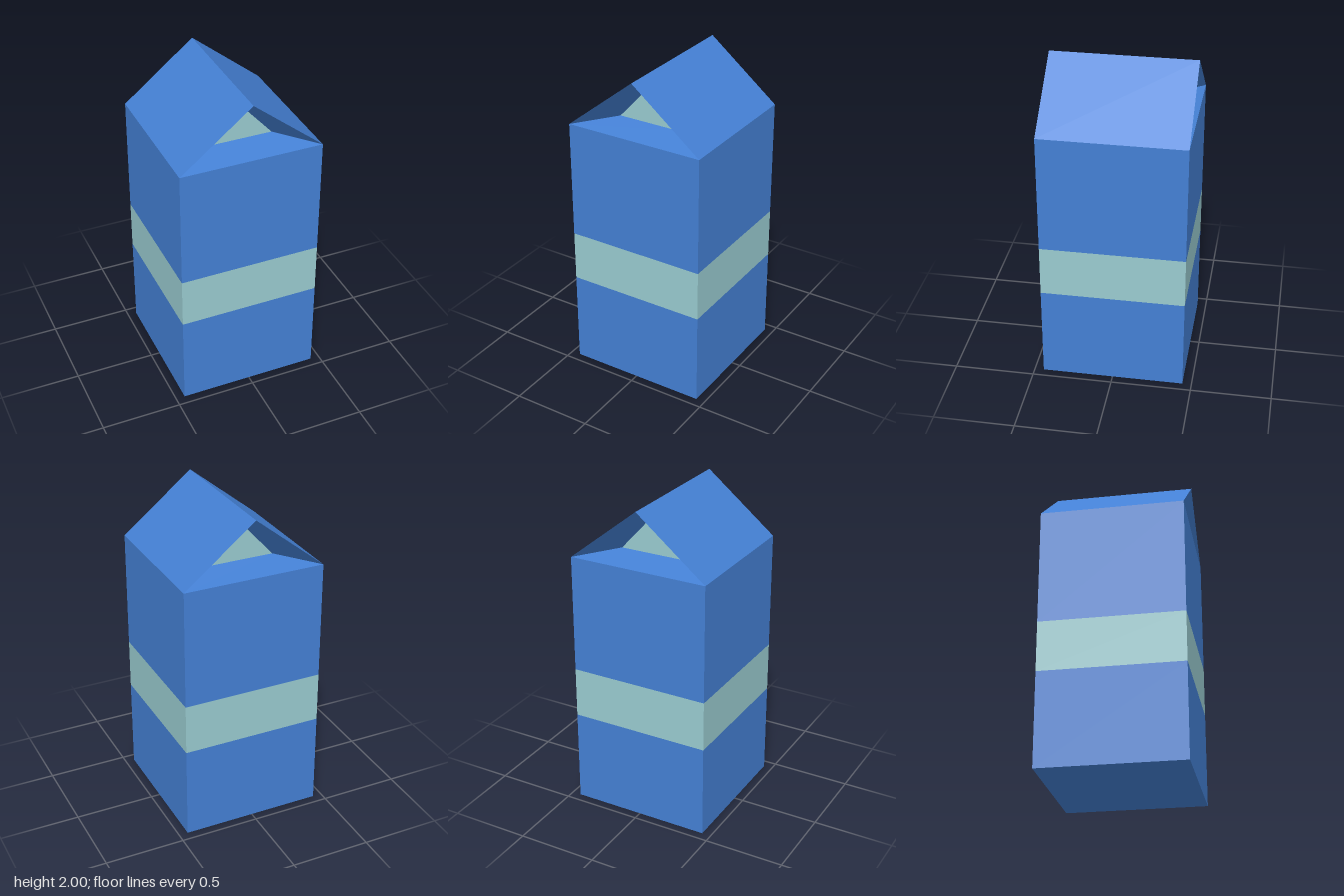
import * as THREE from 'three';

const HALF = 0.443, EAVE = 1.645, RIDGE = 2, INNER = 0.265;

// Flat face from corners in counter-clockwise order, split as a fan from the first corner
function face(name, corners, material) {
  const points = [];
  for (let i = 1; i < corners.length - 1; i++) points.push(...corners[0], ...corners[i], ...corners[i + 1]);
  const geometry = new THREE.BufferGeometry();
  geometry.setAttribute('position', new THREE.Float32BufferAttribute(points, 3));
  geometry.computeVertexNormals();
  const mesh = new THREE.Mesh(geometry, material);
  mesh.name = name;
  return mesh;
}

export function createModel() {
  const blue = new THREE.MeshStandardMaterial({ name: 'carton blue', color: 0x4480d4 });
  const teal = new THREE.MeshStandardMaterial({ name: 'pale teal', color: 0x99cbd0 });
  const carton = new THREE.Group();
  carton.name = 'carton';

  // Four walls, each in three horizontal strips
  const strips = [
    ['lowerWall', 0, 0.59, blue],
    ['wallBand', 0.59, 0.907, teal],
    ['upperWall', 0.907, EAVE, blue],
  ];
  for (let side = 0; side < 4; side++) {
    const wall = new THREE.Group();
    wall.name = 'wall';
    wall.rotation.y = side * Math.PI / 2;
    for (const [name, low, high, material] of strips) {
      const strip = new THREE.Mesh(new THREE.PlaneGeometry(2 * HALF, high - low), material);
      strip.name = name;
      strip.position.set(0, (low + high) / 2, HALF);
      wall.add(strip);
    }
    carton.add(wall);
  }

  // Base
  const base = new THREE.Mesh(new THREE.PlaneGeometry(2 * HALF, 2 * HALF), blue);
  base.name = 'base';
  base.rotation.x = Math.PI / 2;
  carton.add(base);

  // Two matching roof halves: one slope and one folded-in gable each
  const left = [HALF, EAVE, HALF], right = [-HALF, EAVE, HALF], peak = [0, RIDGE, HALF];
  const innerLeft = [0.2, 1.69, INNER], innerRight = [-0.2, 1.69, INNER], innerPeak = [0, 1.912, INNER];
  for (let end = 0; end < 2; end++) {
    const half = new THREE.Group();
    half.name = 'roofHalf';
    half.rotation.y = end * Math.PI;
    half.add(
      face('roofSlope', [left, [HALF, EAVE, -HALF], [0, RIDGE, -HALF], peak], blue),
      face('gableLedge', [right, left, innerLeft, innerRight], blue),
      face('leftGableFold', [peak, innerPeak, innerLeft, left], blue),
      face('rightGableFold', [peak, right, innerRight, innerPeak], blue),
      face('gablePanel', [innerRight, innerLeft, innerPeak], teal),
    );
    carton.add(half);
  }
  return carton;
}
